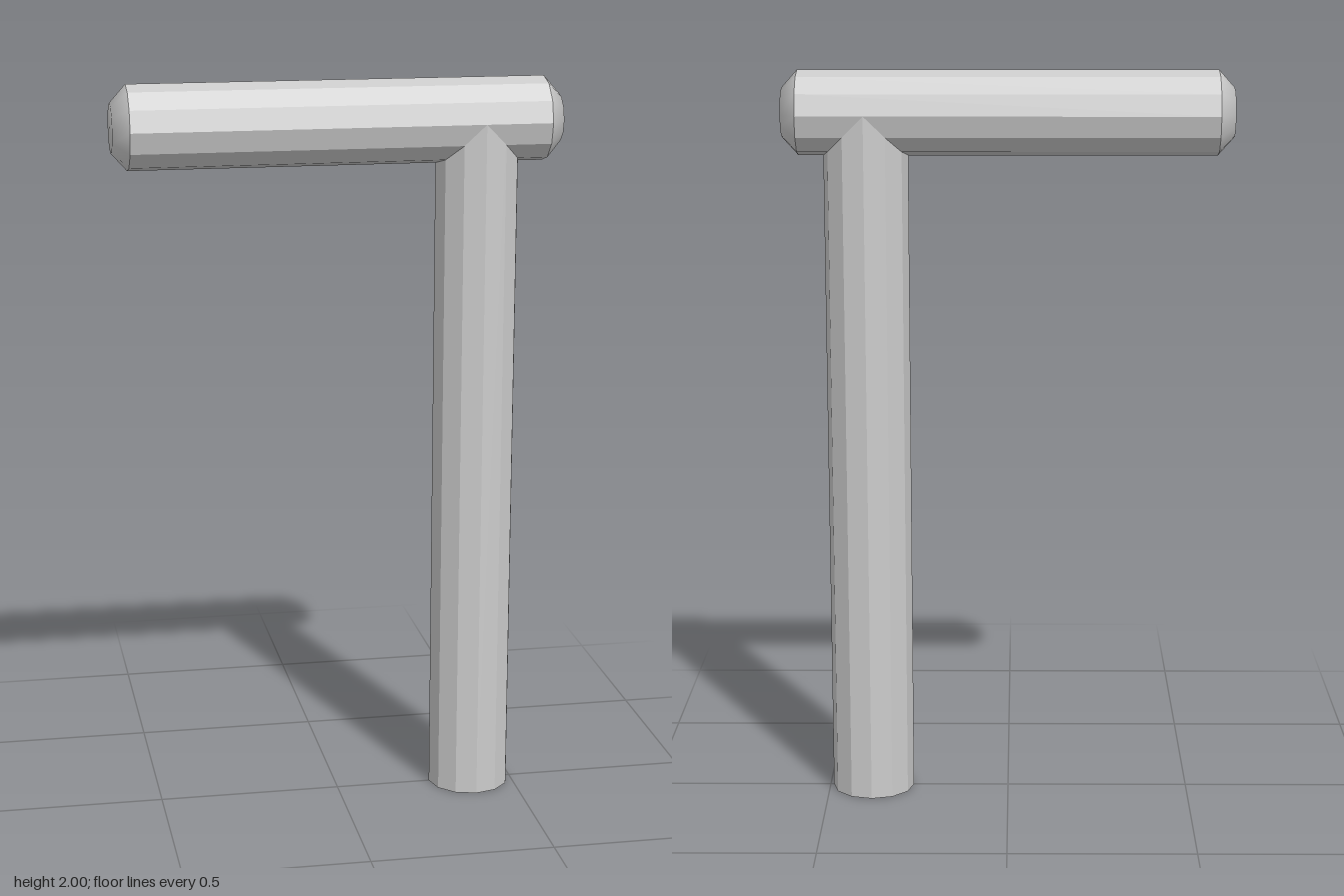
import * as THREE from 'three';

export function createModel() {
  const group = new THREE.Group();
  const R = 0.113, SIDES = 12, BAR_Y = 2 - R, BAR_HALF = 0.557, CAP = 0.043;
  const faceted = new THREE.MeshStandardMaterial({ color: 0xcccccc, flatShading: true });
  const smooth = new THREE.MeshStandardMaterial({ color: 0xcccccc });

  const add = (name, geometry, material) => {
    const mesh = new THREE.Mesh(geometry, material);
    mesh.name = name;
    group.add(mesh);
    return mesh;
  };

  // Upright post, ending on the axis of the bar
  add('post', new THREE.CylinderGeometry(R, R, BAR_Y, SIDES), faceted)
    .position.set(0.378, BAR_Y / 2, 0);

  // Horizontal bar
  const bar = add('crossbar', new THREE.CylinderGeometry(R, R, BAR_HALF * 2, SIDES, 1, true), faceted);
  bar.rotation.z = Math.PI / 2;
  bar.position.y = BAR_Y;

  // Softly shaded, chamfered cap on each end of the bar
  const profile = [[R, 0], [0.066, CAP - 0.001], [0, CAP]].map(p => new THREE.Vector2(...p));
  for (const side of [1, -1]) {
    const cap = add(side > 0 ? 'leftEndCap' : 'rightEndCap', new THREE.LatheGeometry(profile, SIDES), smooth);
    cap.rotation.z = -side * Math.PI / 2;
    cap.position.set(side * BAR_HALF, BAR_Y, 0);
  }
  return group;
}
